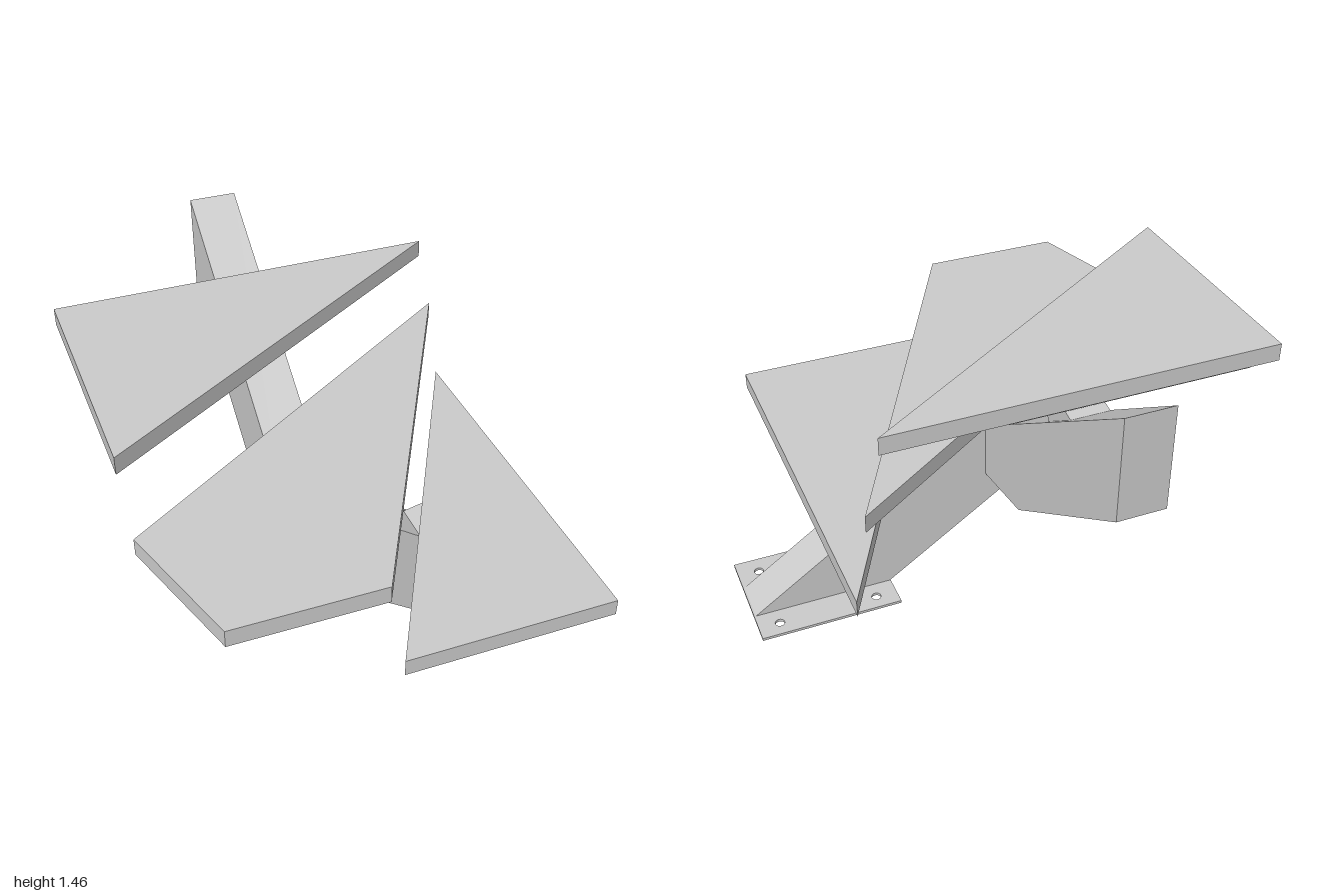
import * as THREE from 'three';

const steel = new THREE.MeshStandardMaterial({ color: 0xcccccc });

// Extrudes an outline of [u, v] points, with optional round holes
function prism(points, depth, holes = [], radius = 0.02) {
  const shape = new THREE.Shape(points.map(([u, v]) => new THREE.Vector2(u, v)));
  for (const [u, v] of holes) {
    const hole = new THREE.Path();
    hole.absarc(u, v, radius, 0, Math.PI * 2, true);
    shape.holes.push(hole);
  }
  return new THREE.ExtrudeGeometry(shape, { depth, bevelEnabled: false, curveSegments: 10 });
}

// Horizontal slab: outline in x, z
const slab = (points, y0, y1, holes) =>
  prism(points, y1 - y0, holes).rotateX(Math.PI / 2).translate(0, y1, 0);

// Profile in x, y spanning z0 to z1
const alongZ = (points, z0, z1) => prism(points, z1 - z0).translate(0, 0, z0);

// Profile in z, y spanning x0 to x1
const alongX = (points, x0, x1) =>
  prism(points, x1 - x0).rotateY(-Math.PI / 2).translate(x1, 0, 0);

export function createModel() {
  const group = new THREE.Group();
  const add = (name, geometry) => {
    const mesh = new THREE.Mesh(geometry, steel);
    mesh.name = name;
    group.add(mesh);
  };

  // Floor plate with four bolt holes
  add('basePlate', slab(
    [[0.35, -0.03], [0.95, -0.03], [0.95, 0.46], [0.35, 0.46]], 0, 0.012,
    [[0.86, 0.035], [0.86, 0.38], [0.44, 0.035], [0.44, 0.38]]));

  // Two box beams meeting at a right angle
  add('lowerStringer', alongZ(
    [[0.355, 0.01], [0.945, 0.01], [-0.355, 0.905], [-0.355, 0.492]], 0.11, 0.30));
  add('upperStringer', alongX(
    [[0.11, 0.46], [-0.23, 0.517], [-1, 1.04], [-1, 1.457], [0.11, 0.705]], -0.28, -0.09));

  // Winder treads, each on a thin mounting plate
  const steps = [
    { name: 'lower', y: 0.548, top: 0.616,
      tread: [[0.7, -0.6], [0.7, 1], [-0.14, 1]],
      plate: [[0.56, -0.22], [0.56, 0.65], [0.09, 0.65], [0.51, -0.22]] },
    { name: 'middle', y: 0.92, top: 0.988,
      tread: [[0.65, -0.6], [-0.2, 1], [-0.77, 1], [-0.93, 0.47]],
      plate: [[0.2, -0.1], [-0.18, 0.6], [-0.69, 0.33], [0.1, -0.2]] },
    { name: 'upper', y: 1.23, top: 1.3,
      tread: [[0.59, -0.6], [-0.95, 0.41], [-0.95, -0.6]],
      plate: [[0.11, -0.57], [0.11, -0.42], [-0.74, -0.06], [-0.85, -0.57]] },
  ];
  for (const { name, y, top, tread, plate } of steps) {
    add(name + 'Tread', slab(tread, y, top));
    add(name + 'MountingPlate', slab(plate, y - (name === 'upper' ? 0.025 : 0.014), y));
  }

  // Wedge brackets between the beams and the plates
  add('lowerBracket', alongZ(
    [[0.23, 0.502], [0.43, 0.365], [0.53, 0.535], [0.38, 0.535]], 0.13, 0.285));
  add('middleBracket', alongZ(
    [[-0.35, 0.9], [-0.19, 0.79], [-0.12, 0.907], [-0.35, 0.907]], 0.13, 0.285));
  add('upperBracket', alongX(
    [[-0.6, 1.185], [-0.43, 1.065], [-0.345, 1.206], [-0.5, 1.206]], -0.265, -0.11));

  return group;
}
